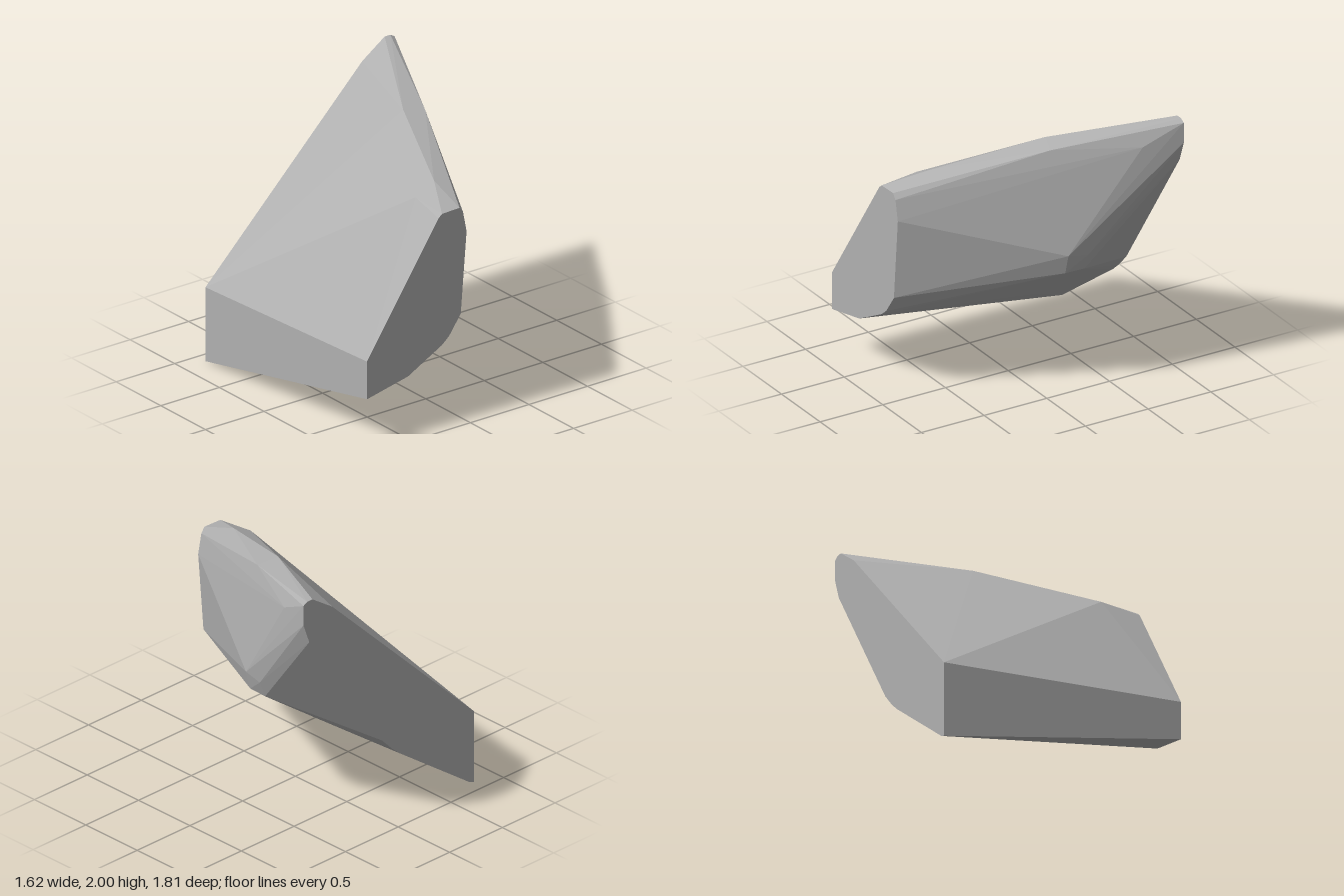
import * as THREE from 'three';
import { ConvexGeometry } from 'three/addons/geometries/ConvexGeometry.js';

const FRONT = 0.905, BACK = -0.905;

// flat front cut, [x, y]
const frontOutline = [
  [-0.81, 0.36], [-0.81, 0.64], [-0.2, 1.54], [-0.17, 1.565], [-0.02, 1.57], [0.01, 1.53],
  [0.04, 1.38], [-0.01, 0.78], [-0.11, 0.64], [-0.17, 0.59], [-0.46, 0.435],
];

// flat back cut, [x, y]
const backOutline = [
  [-0.81, 0], [-0.81, 0.55], [0.53, 1.87], [0.72, 2], [0.77, 2], [0.805, 1.98],
  [0.805, 1.83], [0.75, 1.68], [0.06, 0.655], [-0.035, 0.555], [-0.11, 0.49], [-0.77, 0.015],
];

// corners between the two cuts, [x, y, z]
const ridgeCorners = [
  [-0.18, 1.59, 0.62], [-0.02, 1.67, 0.62], [0.28, 1.855, -0.12], [0.43, 1.83, -0.07], // top ridge
  [0.72, 1.83, -0.63], [0.585, 1.08, -0.12], [0.6, 1.06, -0.27],                       // side
  [0.545, 0.935, -0.12], [0.55, 0.935, -0.27], [-0.06, 0.49, -0.27],                   // underside
];

export function createModel() {
  const group = new THREE.Group();
  group.name = 'rock';

  const stone = new THREE.MeshStandardMaterial({ color: 0xb0b0b0 });
  stone.name = 'grey stone';

  // faceted boulder: the hull around both cuts and the corners between them
  const points = [
    ...frontOutline.map(([x, y]) => new THREE.Vector3(x, y, FRONT)),
    ...backOutline.map(([x, y]) => new THREE.Vector3(x, y, BACK)),
    ...ridgeCorners.map((p) => new THREE.Vector3(...p)),
  ];
  const boulder = new THREE.Mesh(new ConvexGeometry(points), stone);
  boulder.name = 'boulder';
  group.add(boulder);
  return group;
}
